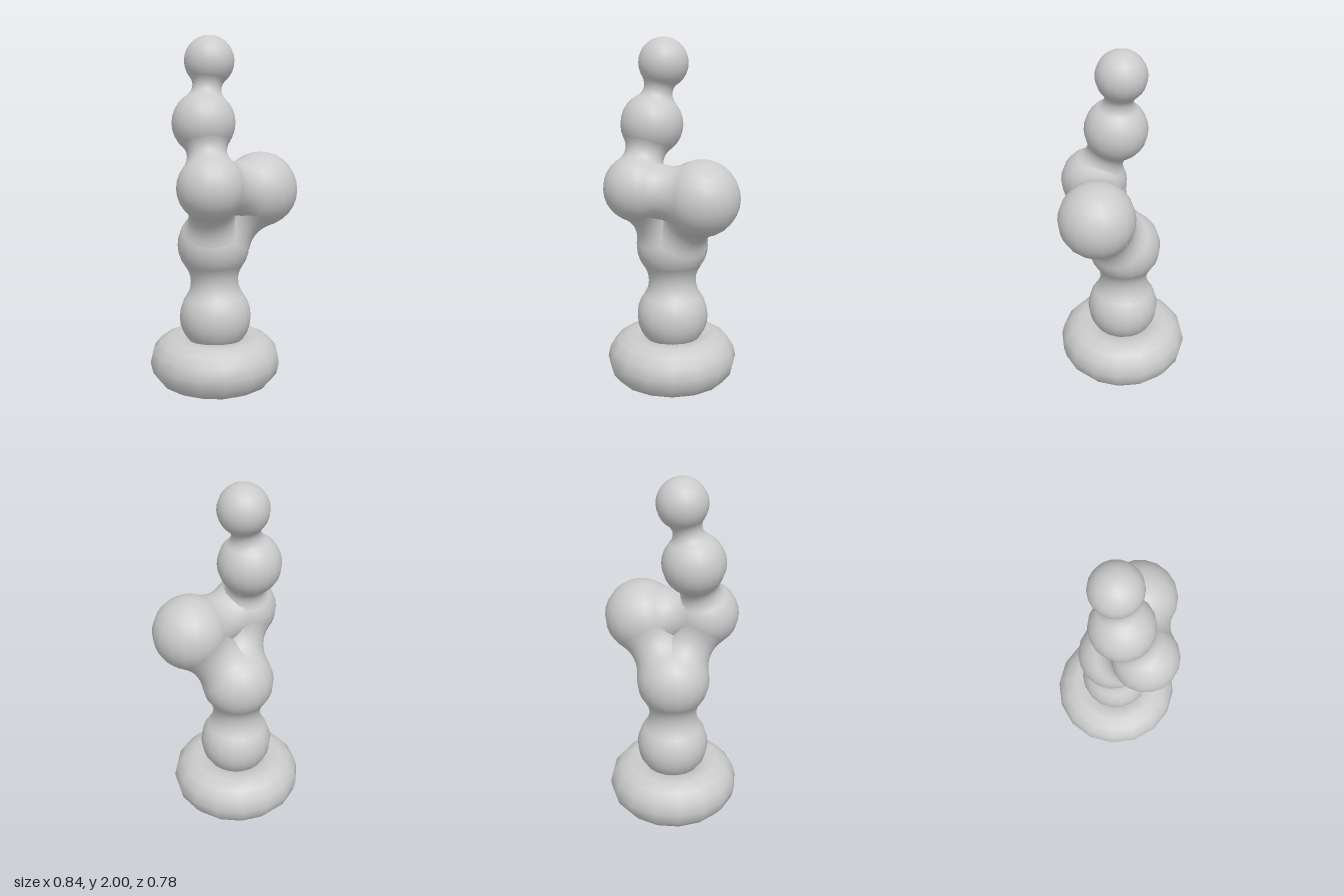
import * as THREE from 'three';

const material = new THREE.MeshStandardMaterial({ color: 0xcccccc, side: THREE.DoubleSide });

// Each ball: centre and radius
const balls = {
  lowerBall: { c: [-0.04, 0.41, -0.018], r: 0.207 },
  waistBall: { c: [-0.05, 0.835, -0.02], r: 0.207 },
  sideBall: { c: [0.205, 1.15, -0.085], r: 0.212 },
  frontBall: { c: [-0.015, 1.19, 0.207], r: 0.187 },
  neckBall: { c: [-0.08, 1.53, 0.09], r: 0.176 },
  topBall: { c: [-0.062, 1.862, 0.027], r: 0.139 },
};

// Pairs of balls joined by a waisted neck of the given radius
const links = [
  ['lowerBall', 'waistBall', 0.137],
  ['waistBall', 'sideBall', 0.15],
  ['waistBall', 'frontBall', 0.13],
  ['sideBall', 'frontBall', 0.15],
  ['frontBall', 'neckBall', 0.11],
  ['neckBall', 'topBall', 0.08],
];

function add(group, name, geometry) {
  const mesh = new THREE.Mesh(geometry, material);
  mesh.name = name;
  group.add(mesh);
  return mesh;
}

// Concave collar, tangent to both balls, narrowing to the neck radius
function collarGeometry(d, r1, r2, neck) {
  const centre = (f) => {
    const y = (d * d + (r1 + f) ** 2 - (r2 + f) ** 2) / (2 * d);
    return { y, h: Math.sqrt(Math.max(0, (r1 + f) ** 2 - y * y)) };
  };
  let low = 0, high = 3;
  for (let i = 0; i < 50; i++) {
    const f = (low + high) / 2;
    if (centre(f).h - f < neck) low = f; else high = f;
  }
  const f = low;
  const { y, h } = centre(f);
  const start = Math.atan2(-h, -y);
  const end = Math.atan2(-h, d - y);
  const points = [];
  for (let i = 0; i <= 8; i++) {
    const a = start + ((end - start) * i) / 8;
    points.push(new THREE.Vector2(h + f * Math.sin(a), y + f * Math.cos(a)));
  }
  return new THREE.LatheGeometry(points, 20);
}

export function createModel() {
  const group = new THREE.Group();
  group.name = 'stackedBalls';

  // Ring-shaped foot
  const base = add(group, 'baseRing', new THREE.TorusGeometry(0.227, 0.15, 14, 16));
  base.rotation.x = Math.PI / 2;
  base.position.set(-0.042, 0.15, -0.015);

  for (const [name, { c, r }] of Object.entries(balls)) {
    add(group, name, new THREE.SphereGeometry(r, 18, 14)).position.set(...c);
  }

  // Blended necks between neighbouring balls
  for (const [from, to, neck] of links) {
    const a = new THREE.Vector3(...balls[from].c);
    const axis = new THREE.Vector3(...balls[to].c).sub(a);
    const geometry = collarGeometry(axis.length(), balls[from].r, balls[to].r, neck);
    const collar = add(group, `${from}To${to[0].toUpperCase()}${to.slice(1)}Neck`, geometry);
    collar.position.copy(a);
    collar.quaternion.setFromUnitVectors(new THREE.Vector3(0, 1, 0), axis.normalize());
  }
  return group;
}
